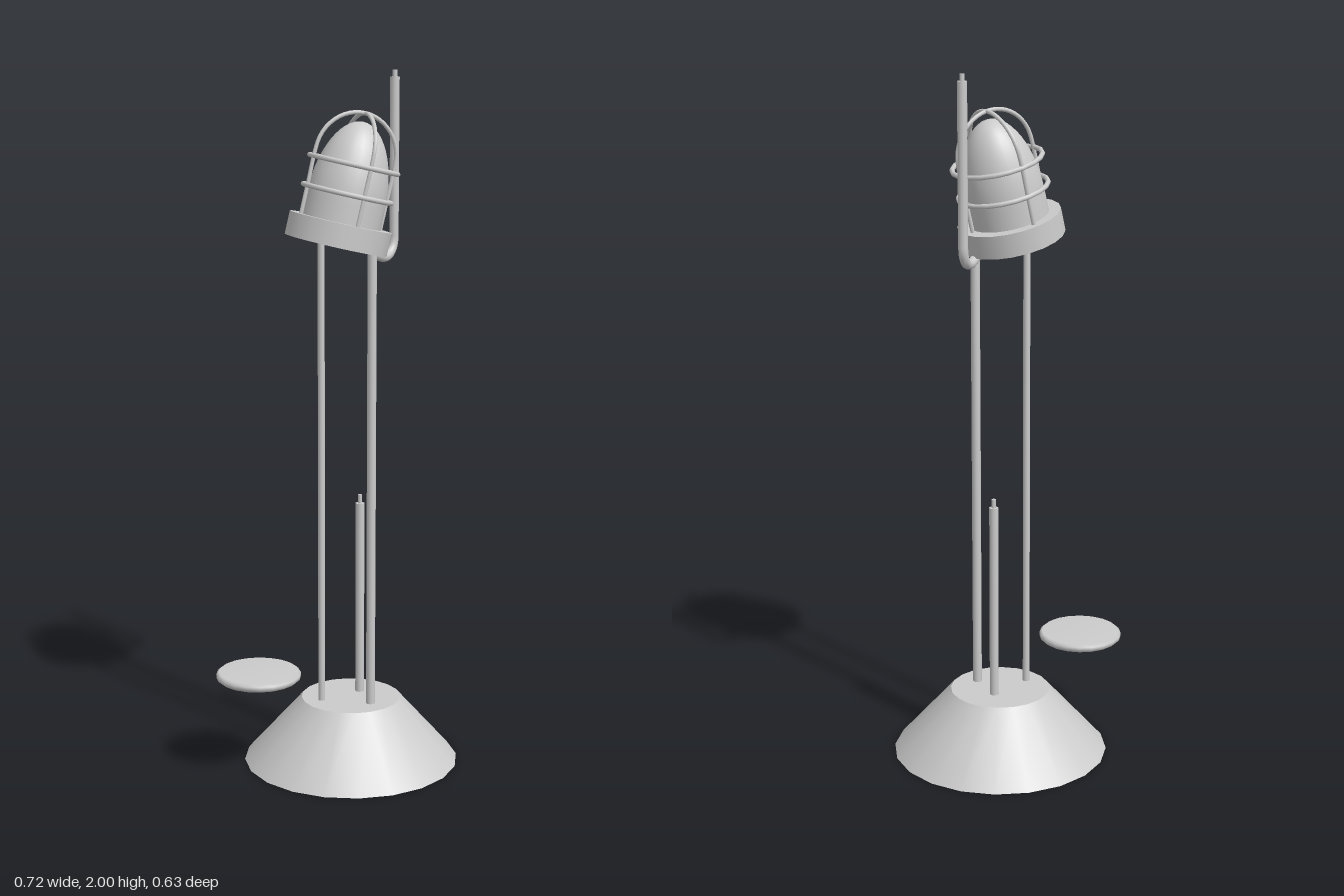
import * as THREE from 'three';

const material = new THREE.MeshStandardMaterial({ color: 0xcccccc });

function add(parent, name, geometry, x = 0, y = 0, z = 0) {
  const mesh = new THREE.Mesh(geometry, material);
  mesh.name = name;
  mesh.position.set(x, y, z);
  parent.add(mesh);
  return mesh;
}

// Upright round bar standing between two heights
function bar(parent, name, radius, y0, y1, x, z) {
  return add(parent, name, new THREE.CylinderGeometry(radius, radius, y1 - y0, 12), x, (y0 + y1) / 2, z);
}

export function createModel() {
  const model = new THREE.Group();
  model.name = 'cagedLamp';

  // Conical foot
  add(model, 'base', new THREE.CylinderGeometry(0.145, 0.313, 0.19, 20), 0.047, 0.095, 0);

  // Posts carrying the head, and the short free-standing rod with its tip
  bar(model, 'thinPost', 0.01, 0.18, 1.55, -0.045, 0);
  bar(model, 'thickPost', 0.013, 0.18, 1.53, 0.077, 0.077);
  bar(model, 'shortRod', 0.013, 0.18, 0.765, 0.087, -0.03);
  bar(model, 'shortRodTip', 0.006, 0.765, 0.79, 0.087, -0.03);

  // Floating disc with a bevelled rim
  const disc = [[0, -0.012], [0.114, -0.012], [0.122, -0.005], [0.122, 0.005], [0.114, 0.012], [0, 0.012]];
  add(model, 'disc', new THREE.LatheGeometry(disc.map(([r, y]) => new THREE.Vector2(r, y)), 20), -0.24, 0.293, 0);

  // Hooked tube rising beside the head
  const hook = new THREE.CurvePath();
  const start = new THREE.Vector3(0.1, 1.497, 0.014);
  const bendStart = new THREE.Vector3(0.15, 1.48, -0.02);
  const bendEnd = new THREE.Vector3(0.2, 1.535, -0.057);
  hook.add(new THREE.LineCurve3(start, bendStart));
  hook.add(new THREE.CubicBezierCurve3(bendStart, new THREE.Vector3(0.178, 1.474, -0.041),
    new THREE.Vector3(0.2, 1.495, -0.057), bendEnd));
  hook.add(new THREE.LineCurve3(bendEnd, new THREE.Vector3(0.2, 1.98, -0.057)));
  add(model, 'hookTube', new THREE.TubeGeometry(hook, 64, 0.0135, 10));
  bar(model, 'hookCap', 0.0135, 1.97, 1.981, 0.2, -0.057);
  bar(model, 'hookTip', 0.007, 1.98, 2.0, 0.2, -0.057);

  // Tilted lamp head, built along its own axis
  const head = new THREE.Group();
  head.name = 'head';
  head.position.set(-0.001, 1.525, 0);
  head.rotation.z = -0.24;
  model.add(head);
  add(head, 'collar', new THREE.CylinderGeometry(0.146, 0.146, 0.066, 20), 0, 0.033, 0);

  // Egg-shaped bulb
  const bulb = [new THREE.Vector2(0.113, 0.06)];
  for (let i = 0; i <= 14; i++) {
    const a = (i / 14) * Math.PI / 2;
    bulb.push(new THREE.Vector2(0.112 * Math.cos(a), 0.12 + 0.228 * Math.sin(a)));
  }
  add(head, 'bulb', new THREE.LatheGeometry(bulb, 28));

  // Cage: two crossing arches and two hoops
  const arch = [new THREE.Vector3(-0.122, 0.06, 0), new THREE.Vector3(-0.122, 0.15, 0)];
  for (let i = 0; i <= 12; i++) {
    const a = Math.PI * (1 - i / 12);
    arch.push(new THREE.Vector3(0.122 * Math.cos(a), 0.25 + 0.122 * Math.sin(a), 0));
  }
  arch.push(new THREE.Vector3(0.122, 0.15, 0), new THREE.Vector3(0.122, 0.06, 0));
  const archGeometry = new THREE.TubeGeometry(new THREE.CatmullRomCurve3(arch), 48, 0.006, 8);
  for (const turn of [0, Math.PI / 2]) add(head, 'cageArch', archGeometry).rotation.y = turn;
  for (const y of [0.146, 0.228]) {
    add(head, 'cageHoop', new THREE.TorusGeometry(0.126, 0.007, 8, 20), 0, y, 0).rotation.x = Math.PI / 2;
  }
  return model;
}
